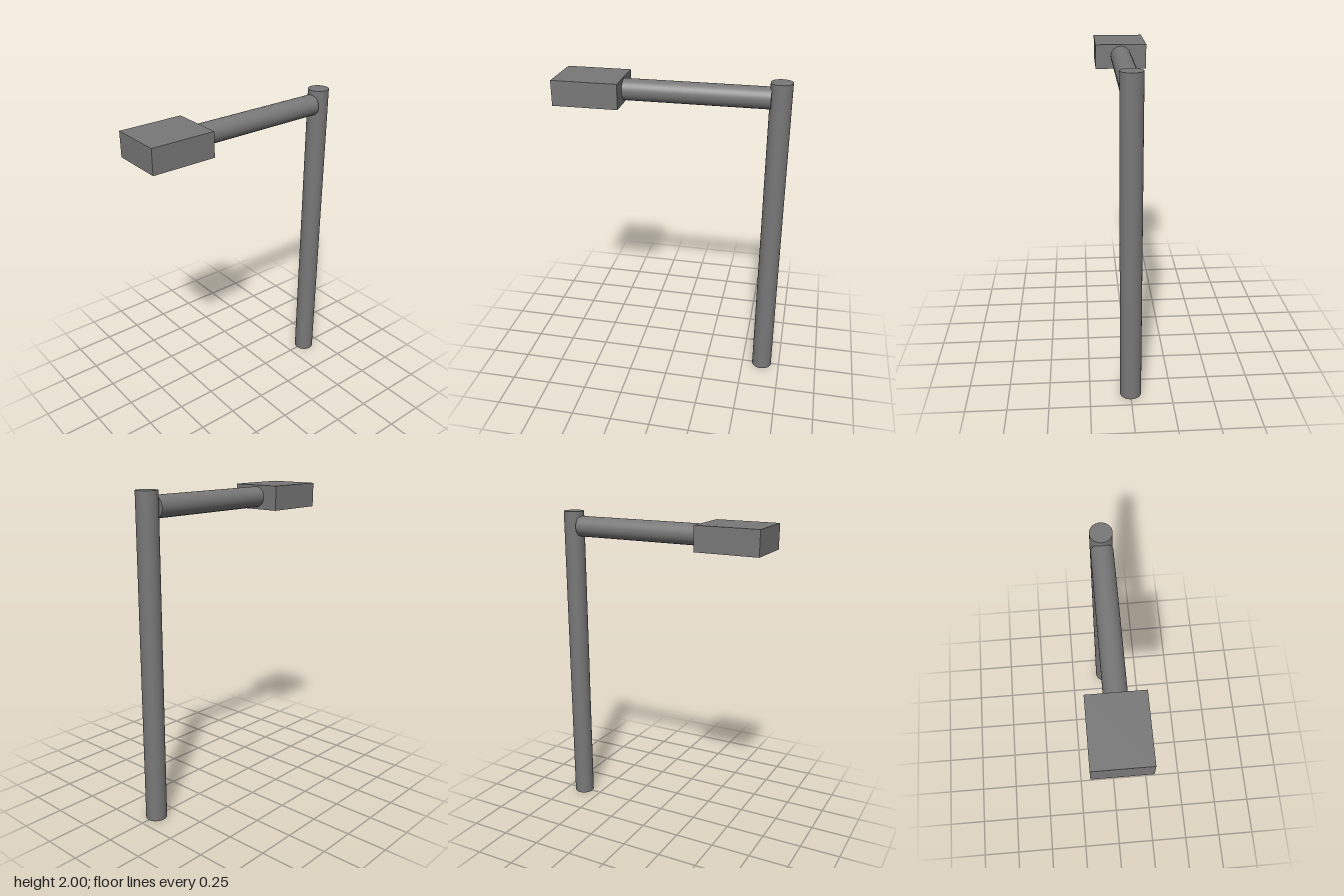
import * as THREE from 'three';

const RADIUS = 0.065;
const ARM_Y = 1.905;
const HEAD = { x: -0.497, width: 0.4, depth: 0.325, bottom: 1.827, top: 1.98, rim: 0.02, recess: 0.01 };

export function createModel() {
  const group = new THREE.Group();
  const darkMetal = new THREE.MeshStandardMaterial({ color: 0x787878 });
  const lightPanel = new THREE.MeshStandardMaterial({ color: 0xcccccc });

  const add = (name, geometry, x, y, material = darkMetal) => {
    const mesh = new THREE.Mesh(geometry, material);
    mesh.name = name;
    mesh.position.set(x, y, 0);
    group.add(mesh);
  };

  // Upright post
  add('post', new THREE.CylinderGeometry(RADIUS, RADIUS, 2, 48), 0.632, 1);

  // Horizontal arm, its square-cut end set into the post
  const armStart = -0.297, armEnd = 0.579;
  const arm = new THREE.CylinderGeometry(RADIUS, RADIUS, armEnd - armStart, 48).rotateZ(Math.PI / 2);
  add('arm', arm, (armStart + armEnd) / 2, ARM_Y);

  // Lamp housing
  const bodyBottom = HEAD.bottom + HEAD.recess;
  const bodyHeight = HEAD.top - bodyBottom;
  add('lampHousing', new THREE.BoxGeometry(HEAD.width, bodyHeight, HEAD.depth), HEAD.x, bodyBottom + bodyHeight / 2);

  // Narrow rim around the light panel
  const innerWidth = HEAD.width - 2 * HEAD.rim;
  const innerDepth = HEAD.depth - 2 * HEAD.rim;
  const rectangle = (target, w, d) => {
    target.moveTo(-w / 2, -d / 2);
    target.lineTo(w / 2, -d / 2);
    target.lineTo(w / 2, d / 2);
    target.lineTo(-w / 2, d / 2);
    target.closePath();
    return target;
  };
  const frame = rectangle(new THREE.Shape(), HEAD.width, HEAD.depth);
  frame.holes.push(rectangle(new THREE.Path(), innerWidth, innerDepth));
  const rim = new THREE.ExtrudeGeometry(frame, { depth: HEAD.recess, bevelEnabled: false }).rotateX(-Math.PI / 2);
  add('lampRim', rim, HEAD.x, HEAD.bottom);

  // Pale light panel filling the rim, set back slightly
  const panelHeight = 0.008;
  add('lightPanel', new THREE.BoxGeometry(innerWidth, panelHeight, innerDepth), HEAD.x, bodyBottom - panelHeight / 2, lightPanel);

  return group;
}
